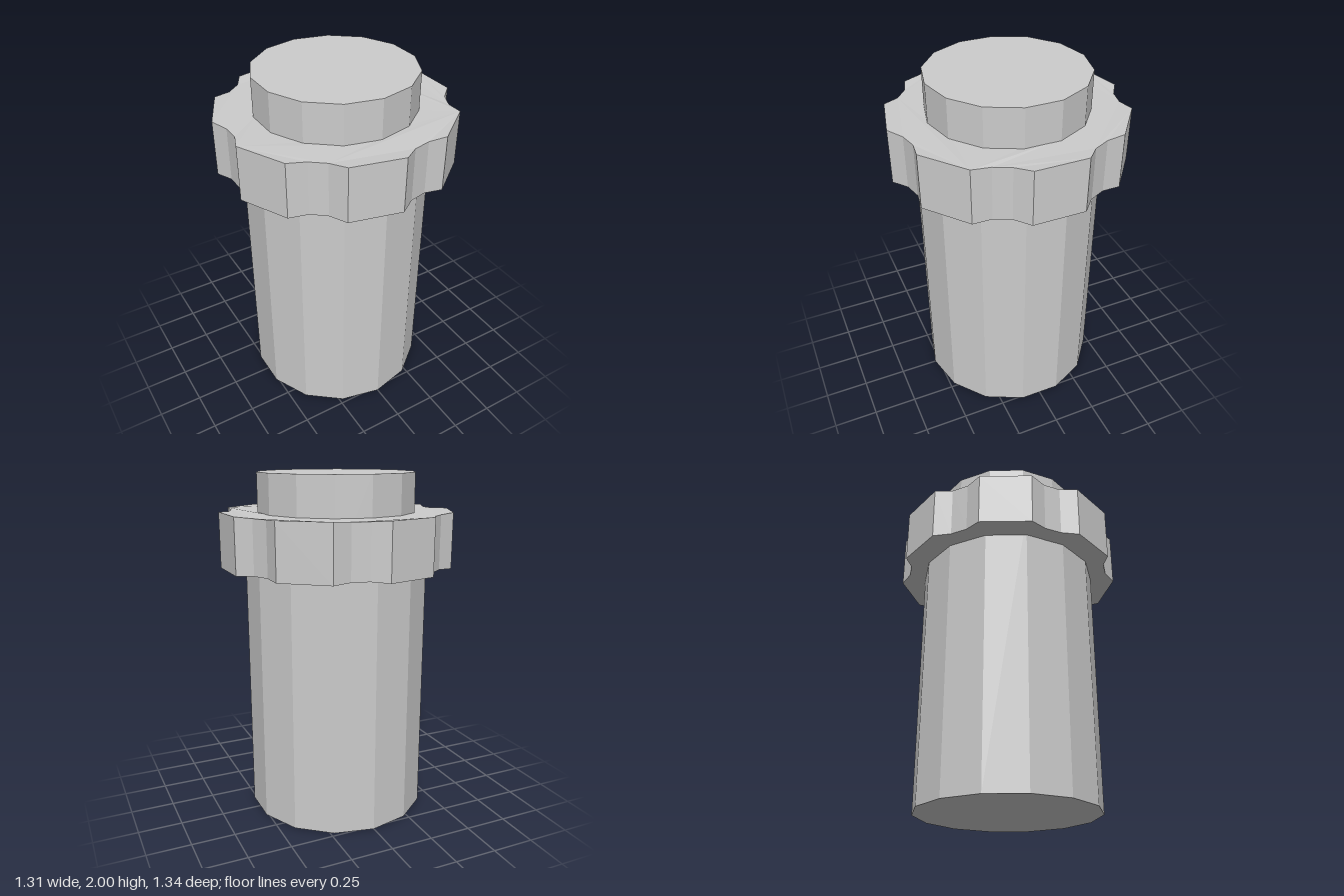
import * as THREE from 'three';

const SIDES = 14;
const STEP = (Math.PI * 2) / SIDES;
const material = new THREE.MeshStandardMaterial({ color: 0xcccccc, flatShading: true });

// Upright faceted cylinder between two heights, with a corner on +z
function prism(name, radius, bottom, top) {
  const geometry = new THREE.CylinderGeometry(radius, radius, top - bottom, SIDES);
  geometry.translate(0, (bottom + top) / 2, 0);
  const mesh = new THREE.Mesh(geometry, material);
  mesh.name = name;
  return mesh;
}

// Point at an angle measured from +z towards +x; shape y becomes -z
const polar = (radius, angle) =>
  new THREE.Vector2(radius * Math.sin(angle), -radius * Math.cos(angle));

// Collar whose every other side is scooped out as a finger grip
function notchedCollar(outer, notch, inner, bottom, top) {
  const outline = [];
  const bore = [];
  for (let i = 0; i < SIDES; i++) {
    const angle = i * STEP;
    outline.push(polar(outer, angle));
    if (i % 2 === 0) {
      outline.push(polar(notch, angle + STEP * 0.318), polar(notch, angle + STEP * 0.682));
    }
    bore.push(polar(inner, angle));
  }
  const shape = new THREE.Shape(outline);
  shape.holes.push(new THREE.Path(bore));
  const geometry = new THREE.ExtrudeGeometry(shape, { depth: top - bottom, bevelEnabled: false });
  geometry.rotateX(-Math.PI / 2);
  geometry.translate(0, bottom, 0);

  // The rim thins very slightly inside the notches
  const p = geometry.attributes.position;
  const middle = (bottom + top) / 2;
  for (let i = 0; i < p.count; i++) {
    const r = Math.hypot(p.getX(i), p.getZ(i));
    if (r < (outer + notch) / 2) p.setY(i, p.getY(i) - Math.sign(p.getY(i) - middle) * 0.006);
  }
  geometry.computeVertexNormals();
  const mesh = new THREE.Mesh(geometry, material);
  mesh.name = 'notchedCollar';
  return mesh;
}

export function createModel() {
  const model = new THREE.Group();
  model.name = 'cappedCylinder';
  model.add(
    prism('body', 0.527, 0, 1.6),
    notchedCollar(0.67, 0.617, 0.44, 1.47, 1.784),
    prism('topPlug', 0.453, 1.5, 2),
  );
  return model;
}
